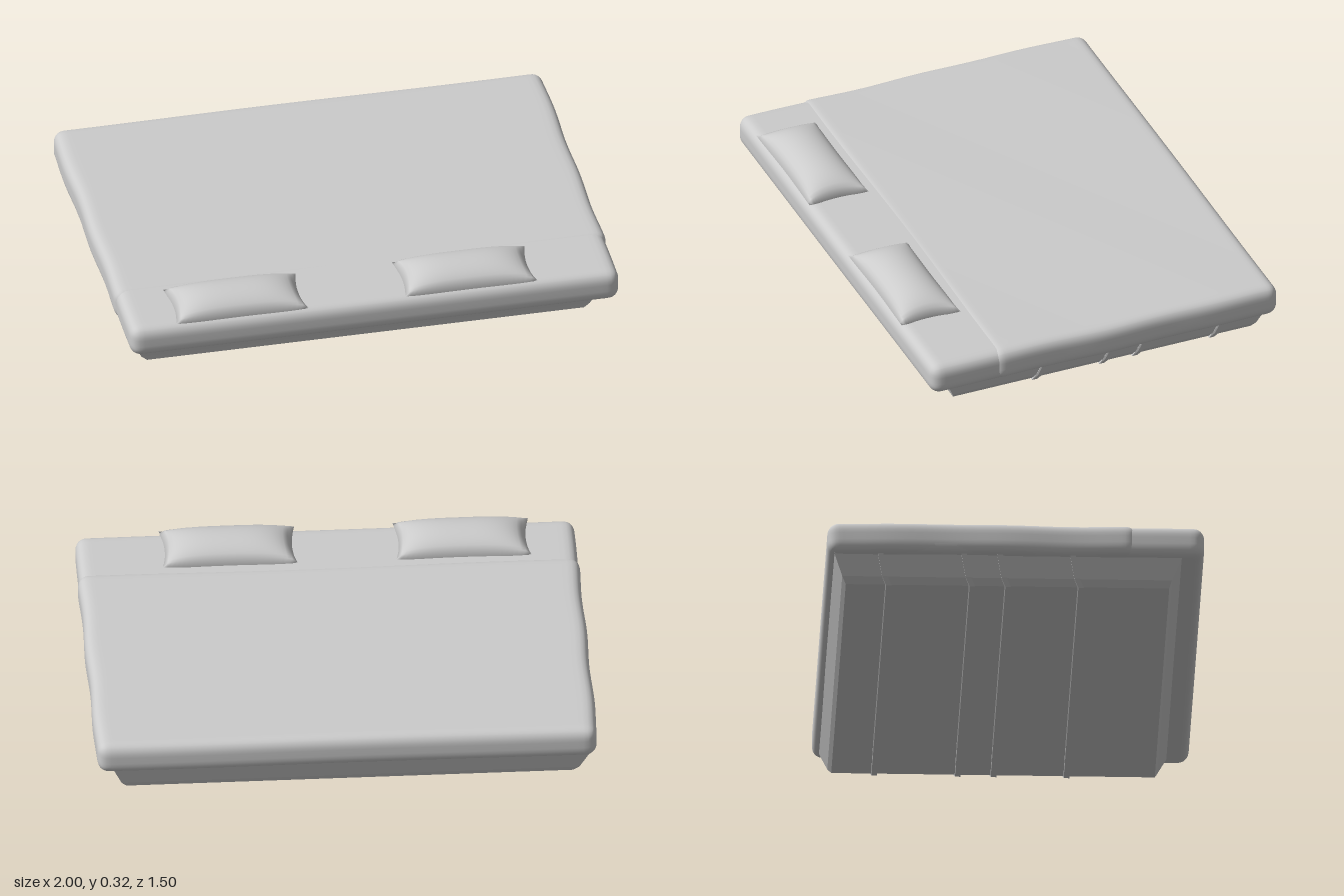
import * as THREE from 'three';
import { mergeVertices } from 'three/addons/utils/BufferGeometryUtils.js';

const material = new THREE.MeshStandardMaterial({ color: 0xcccccc });
const flatMaterial = new THREE.MeshStandardMaterial({ color: 0xcccccc, flatShading: true });

// Move every vertex by a rule.
function reshape(geo, rule) {
  const pos = geo.attributes.position;
  const v = new THREE.Vector3();
  for (let i = 0; i < pos.count; i++) {
    v.fromBufferAttribute(pos, i);
    rule(v);
    pos.setXYZ(i, v.x, v.y, v.z);
  }
  return geo;
}

// Weld the seams and shade smoothly.
function smooth(geo) {
  geo.deleteAttribute('uv');
  geo.deleteAttribute('normal');
  const welded = mergeVertices(geo, 1e-5);
  welded.computeVertexNormals();
  return welded;
}

// Rounded, slightly uneven padded slab centred on the origin.
function paddedSlab(w, h, d, r, wobble) {
  const half = new THREE.Vector3(w / 2, h / 2, d / 2);
  const inner = half.clone().subScalar(r);
  const core = new THREE.Vector3();
  // vertices are crowded towards the edges so the rounding is fine there
  const crowd = (t) => Math.sin(t * Math.PI / 2) * 0.8 + Math.sin(t * Math.PI / 2) ** 3 * 0.2;
  return smooth(reshape(new THREE.BoxGeometry(2, 2, 2, 56, 12, 56), (v) => {
    v.set(crowd(v.x), crowd(v.y), crowd(v.z)).multiply(half);
    core.copy(v).clamp(inner.clone().negate(), inner);
    v.sub(core).setLength(r).add(core);
    v.x += wobble * Math.sin(v.z * 13) * v.x / half.x;
    v.y += wobble * 0.6 * Math.sin(v.x * 4 + v.z * 7);
  }));
}

// Cushion with pinched corners and a domed top.
function pillowGeometry(w, h, d) {
  return smooth(reshape(new THREE.BoxGeometry(2, 2, 2, 28, 1, 22), (v) => {
    const { x: a, z: b } = v;
    const puff = Math.sqrt(Math.max(0, (1 - a ** 4) * (1 - b * b)));
    const corner = (a * b) ** 4;
    v.x = a * w / 2 * (1 - 0.06 * (1 - b * b));
    v.z = b * d / 2 * (1 - 0.07 * (1 - a * a));
    v.y = (v.y > 0 ? h * puff * (1 - 0.12 * a * a) : -0.01 * puff) + 0.008 * corner;
  }));
}

// Base outline at three heights: left and right x, back and front z.
const levels = [
  { y: 0.006, x0: -0.90, x1: 0.875, z0: -0.675, z1: 0.61 },
  { y: 0.03, x0: -0.925, x1: 0.895, z0: -0.69, z1: 0.62 },
  { y: 0.125, x0: -0.968, x1: 0.933, z0: -0.727, z1: 0.665 },
];

// Strap running under the base and up both sides, leaning as it rises.
function strapGeometry() {
  const t = 0.006;
  const shape = new THREE.Shape([
    ...levels.map((l) => new THREE.Vector2(l.x1 + t, l.y - (l.y < 0.01 ? t : 0))),
    ...levels.map((l) => new THREE.Vector2(l.x0 - t, l.y - (l.y < 0.01 ? t : 0))).reverse(),
  ]);
  const geo = new THREE.ExtrudeGeometry(shape, { depth: 0.022, bevelEnabled: false });
  reshape(geo, (v) => {
    v.z += v.y < 0.01 ? 0.025 : v.y < 0.05 ? 0.008 : -0.012;
  });
  geo.computeVertexNormals();
  return geo;
}

export function createModel() {
  const group = new THREE.Group();
  const add = (name, geo, mat, x = 0, y = 0, z = 0) => {
    const mesh = new THREE.Mesh(geo, mat);
    mesh.name = name;
    mesh.position.set(x, y, z);
    group.add(mesh);
    return mesh;
  };

  // Tapered base with a chamfered foot
  const base = reshape(new THREE.BoxGeometry(2, 2, 2, 1, 2, 1), (v) => {
    const l = levels[Math.round(v.y) + 1];
    v.set(v.x < 0 ? l.x0 : l.x1, l.y, v.z < 0 ? l.z0 : l.z1);
  });
  base.computeVertexNormals();
  add('base', base, flatMaterial);

  // Straps
  const strap = strapGeometry();
  for (const z of [0.224, -0.066, -0.208, -0.54]) add('strap', strap, flatMaterial, 0, 0, z);

  // Mattress and the blanket that covers all but the pillow end
  add('mattress', paddedSlab(1.985, 0.132, 1.495, 0.045, 0.001), material, 0, 0.175, 0);
  add('blanket', paddedSlab(1.992, 0.134, 1.23, 0.045, 0.003), material, 0, 0.177, -0.135);

  // Pillows
  const pillow = pillowGeometry(0.54, 0.076, 0.255);
  for (const x of [-0.54, 0.39]) add('pillow', pillow, material, x, 0.24, 0.612);

  return group;
}
